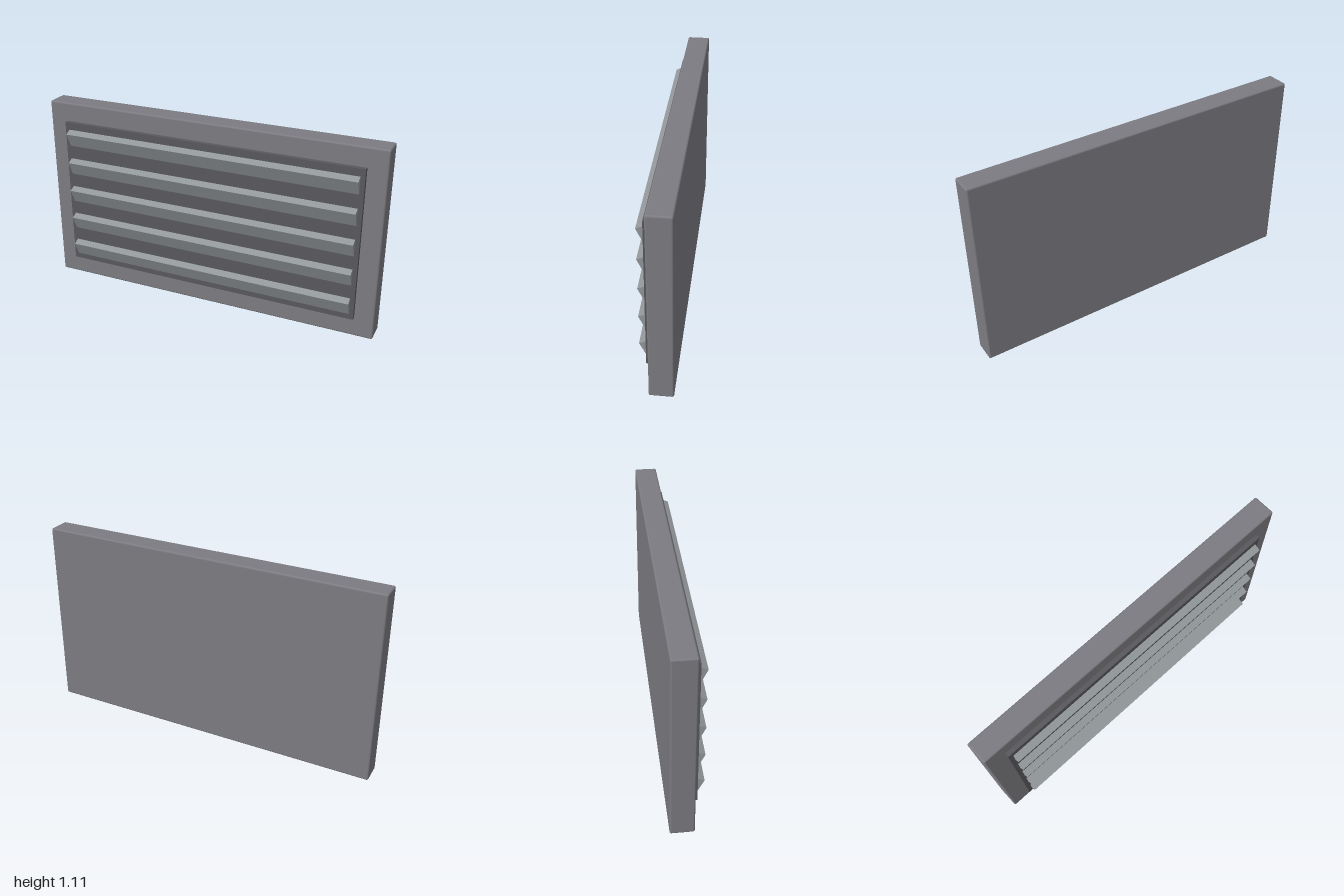
import * as THREE from 'three';
import { RoundedBoxGeometry } from 'three/addons/geometries/RoundedBoxGeometry.js';

const material = (name, color) => {
  const m = new THREE.MeshStandardMaterial({ color });
  m.name = name;
  return m;
};

export function createModel() {
  const model = new THREE.Group();
  model.name = 'louverVent';
  const frameGrey = material('frame grey', 0x7b7b81);
  const darkGrey = material('dark grey', 0x59585d);
  const slatGrey = material('slat grey', 0x92979a);

  const add = (name, geometry, mat, x, y, z) => {
    const mesh = new THREE.Mesh(geometry, mat);
    mesh.name = name;
    mesh.position.set(x, y, z);
    model.add(mesh);
    return mesh;
  };

  // Thick housing with softened edges
  add('housing', new RoundedBoxGeometry(2, 1.11, 0.13, 3, 0.01), frameGrey, 0, 0.555, -0.031);

  // Dark panel raised from the front
  add('backPanel', new THREE.BoxGeometry(1.78, 0.885, 0.06), darkGrey, 0, 0.558, 0.029);

  // Tilted slats, sunk into the panel
  const slat = new THREE.BoxGeometry(1.73, 0.1, 0.05);
  for (let i = 0; i < 5; i++) {
    const mesh = add('slat' + (i + 1), slat, slatGrey, 0, 0.193 + i * 0.178, 0.053);
    mesh.rotation.x = THREE.MathUtils.degToRad(25);
  }
  return model;
}
